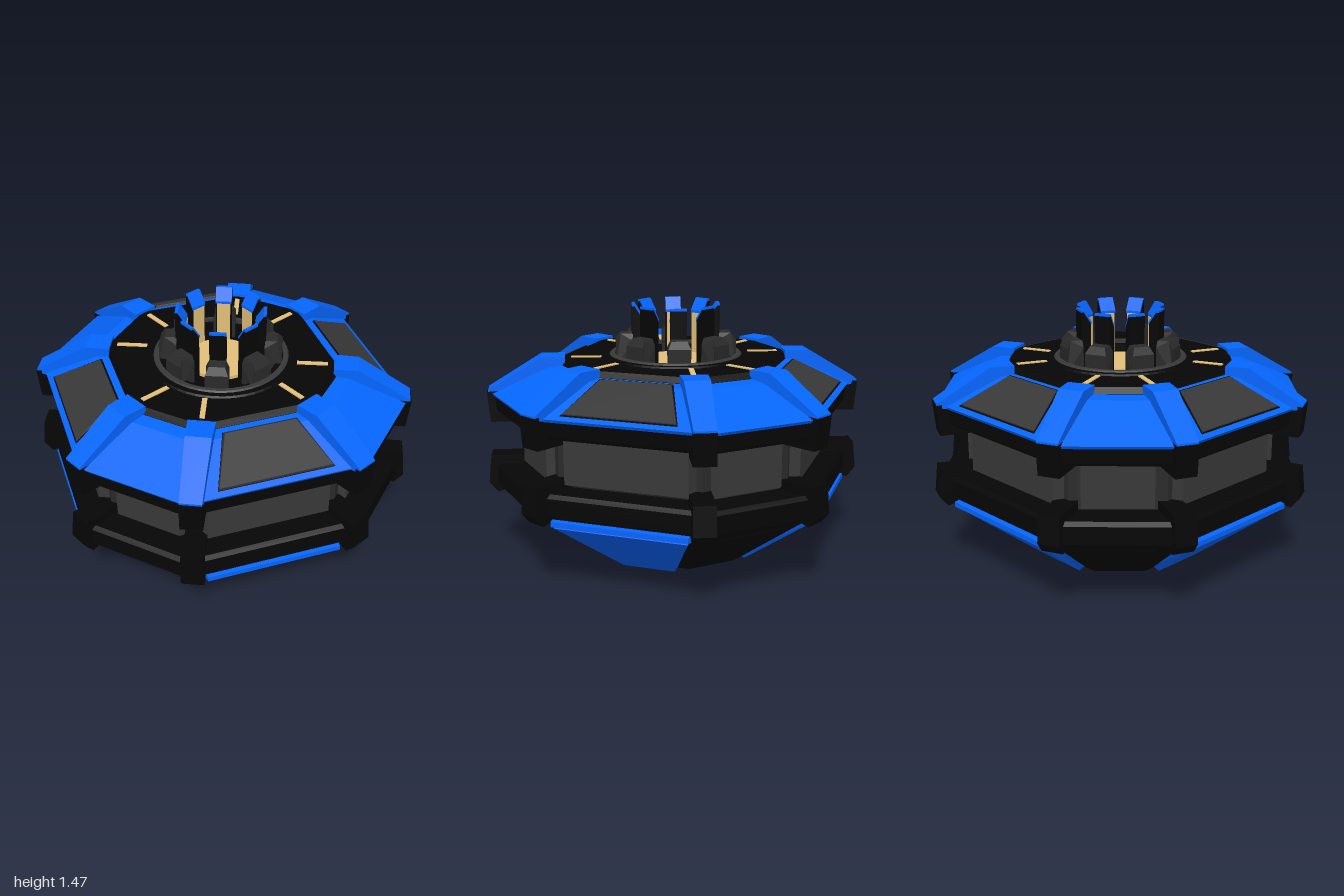
import * as THREE from 'three';

const mat = (color) => new THREE.MeshStandardMaterial({ color, flatShading: true });
const BLACK = mat(0x060606), GREY = mat(0x383838), DARK = mat(0x2a2a2a);
const BLUE = mat(0x0566ff), GOLD = mat(0xe3bf78);
const DEG = Math.PI / 180;
const DIAG = 1.078; // the diagonal sides sit a little further out

// Octagonal loft: profile rows are [distance of the straight sides, height], bottom to top
function octagon(profile) {
  const geo = new THREE.LatheGeometry(profile.map(([r, y]) => new THREE.Vector2(r, y)), 8);
  const k = 0.525;
  const corners = [[k, 1], [1, k], [1, -k], [k, -1], [-k, -1], [-1, -k], [-1, k], [-k, 1], [k, 1]];
  const pos = geo.attributes.position;
  for (let i = 0; i < pos.count; i++) {
    const [cx, cz] = corners[Math.floor(i / profile.length)];
    const s = profile[i % profile.length][0];
    pos.setXYZ(i, cx * s, pos.getY(i), cz * s);
  }
  geo.computeVertexNormals();
  return geo;
}

// Bevelled trapezoid plate; lower and upper edges are [distance, height, half width]
function slab(lo, hi, depth, bevel) {
  const geo = new THREE.BoxGeometry(2, 2, 2);
  const pos = geo.attributes.position;
  const dr = hi[0] - lo[0], dy = hi[1] - lo[1], len = Math.hypot(dr, dy);
  for (let i = 0; i < pos.count; i++) {
    const up = pos.getY(i) > 0, out = pos.getZ(i) > 0;
    const [r, y, w] = up ? hi : lo;
    const slide = out ? (up ? -bevel : bevel) / len : 0;
    const push = out ? depth / len : 0;
    pos.setXYZ(i, pos.getX(i) * (w - (out ? bevel : 0)),
      y + dy * slide - dr * push, r + dr * slide + dy * push);
  }
  geo.computeVertexNormals();
  return geo;
}

// Side profile [outward, height] extruded to a centred width
function rib(points, width) {
  const shape = new THREE.Shape(points.map(([u, y]) => new THREE.Vector2(u, y)));
  const geo = new THREE.ExtrudeGeometry(shape, { depth: width, bevelEnabled: false });
  return geo.translate(0, 0, -width / 2).rotateY(-Math.PI / 2);
}

// Scale the width of a rib by a rule of height and outward distance
function taper(geo, rule) {
  const pos = geo.attributes.position;
  for (let i = 0; i < pos.count; i++) pos.setX(i, pos.getX(i) * rule(pos.getY(i), pos.getZ(i)));
  geo.computeVertexNormals();
  return geo;
}

function ring(inner, outer, y0, y1) {
  const c = Math.min(0.01, (y1 - y0) / 3);
  const pts = [[inner, y0], [outer, y0], [outer, y1 - c], [outer - c, y1], [inner, y1], [inner, y0]];
  return new THREE.LatheGeometry(pts.map(([r, y]) => new THREE.Vector2(r, y)), 48);
}

export function createModel() {
  const model = new THREE.Group();
  const add = (name, geo, material, angle = 0, x = 0, z = 0) => {
    const mesh = new THREE.Mesh(geo, material);
    mesh.name = name;
    mesh.rotation.y = angle;
    mesh.position.set(x, 0, z);
    model.add(mesh);
  };

  // Main octagonal layers
  add('lowerHull', octagon([[0, 0], [0.35, 0], [0.355, 0.03], [0.43, 0.035], [0.89, 0.42], [0.93, 0.45],
    [0.93, 0.55], [0.91, 0.57], [0, 0.57]]), BLACK);
  add('beltCore', octagon([[0.765, 0.56], [0.765, 0.875]]), DARK);
  add('upperBand', octagon([[0, 0.865], [0.9, 0.865], [0.92, 0.885], [0.93, 0.97], [0.6, 0.97]]), BLACK);
  add('roof', octagon([[0.93, 0.965], [0.94, 0.982], [0.665, 1.128], [0.6, 1.138], [0.57, 1.138]]), BLUE);
  add('deck', octagon([[0.598, 1.1], [0.598, 1.14], [0.575, 1.17], [0.34, 1.17], [0.33, 1.13], [0, 1.13]]), BLACK);

  // Plates on the four straight sides
  const roofWindow = slab([0.905, 0.998, 0.312], [0.645, 1.138, 0.2], 0.012, 0.005);
  const windowRim = slab([0.91, 0.995, 0.318], [0.64, 1.14, 0.205], 0.007, 0.002);
  const lowerPanel = slab([0.435, 0.05, 0.165], [0.89, 0.42, 0.385], 0.042, 0.014);
  const panelLip = slab([0.885, 0.39, 0.385], [0.885, 0.43, 0.385], 0.048, 0.006);
  const beltPlate = slab([0.765, 0.572, 0.37], [0.765, 0.864, 0.37], 0.055, 0.025);
  // Plates on the four diagonal sides
  const diagBelt = slab([0.76 * DIAG, 0.572, 0.21], [0.76 * DIAG, 0.864, 0.21], 0.05, 0.02);
  const diagPanel = slab([0.47 * DIAG, 0.07, 0.11], [0.85 * DIAG, 0.39, 0.21], 0.012, 0.012);
  for (let k = 0; k < 4; k++) {
    const a = k * 90 * DEG, d = a + 45 * DEG;
    add('windowRim', windowRim, BLACK, a);
    add('roofWindow', roofWindow, GREY, a);
    add('lowerPanel', lowerPanel, BLUE, a);
    add('lowerPanelLip', panelLip, BLUE, a);
    add('beltPlate', beltPlate, GREY, a);
    add('diagonalBeltPlate', diagBelt, GREY, d);
    add('diagonalLowerPanel', diagPanel, BLACK, d);
  }

  // Corner ribs (widening inward) and deck strips, mirrored in pairs about each side
  const roofRib = taper(rib([[-0.018, 0.98], [-0.018, 1.003], [-0.32, 1.185], [-0.455, 1.185], [-0.455, 1.1],
    [-0.12, 0.96]], 0.115), (y, u) => 1 - 0.65 * u);
  const upperClamp = rib([[-0.028, 0.818], [-0.012, 0.992], [-0.12, 1.0], [-0.22, 0.96], [-0.22, 0.818]], 0.12);
  const lowerClamp = rib([[-0.05, 0.4], [-0.002, 0.46], [-0.02, 0.62], [-0.26, 0.62], [-0.26, 0.45], [-0.12, 0.42]], 0.12);
  const strip = new THREE.BoxGeometry(0.028, 0.02, 0.172).translate(0, 1.166, 0);
  for (let k = 0; k < 4; k++) for (const side of [-1, 1]) {
    const pair = (name, geo, material, radius, at, turn) => {
      const p = (k * 90 + side * at) * DEG;
      add(name, geo, material, (k * 90 + side * turn) * DEG, radius * Math.sin(p), radius * Math.cos(p));
    };
    pair('roofRib', roofRib, BLUE, 1.09, 26.3, 25);
    pair('upperClamp', upperClamp, BLACK, 1.09, 26.3, 24);
    pair('lowerClamp', lowerClamp, BLACK, 1.09, 26.3, 24);
    pair('deckStrip', strip, GOLD, 0.515, 28.6, 22.5);
  }

  // Central socket
  add('socketRing', ring(0.35, 0.382, 1.13, 1.187), GREY);
  add('socketCollar', ring(0.38, 0.42, 1.15, 1.179), BLACK);
  add('socketStep', ring(0.31, 0.352, 1.12, 1.165), BLACK);
  add('socketFloor', new THREE.CylinderGeometry(0.192, 0.192, 0.03, 48).translate(0, 1.135, 0), GOLD);

  // Eight prongs with gold inner faces, blue caps and outer blocks
  const post = rib([[0.195, 1.12], [0.25, 1.12], [0.25, 1.455], [0.235, 1.455], [0.195, 1.39]], 0.09);
  const cap = rib([[0.25, 1.455], [0.25, 1.468], [0.233, 1.468], [0.19, 1.4], [0.19, 1.385], [0.235, 1.455]], 0.09);
  const inlay = new THREE.BoxGeometry(0.075, 0.26, 0.01).translate(0, 1.255, 0.193);
  const block = taper(rib([[0.245, 1.12], [0.343, 1.12], [0.343, 1.26], [0.315, 1.3], [0.245, 1.3], [0.245, 1.26]], 0.125),
    (y) => (y > 1.28 ? 0.7 : 1));
  for (let k = 0; k < 8; k++) {
    const a = (22.5 + k * 45) * DEG;
    add('prong', post, BLACK, a);
    add('prongCap', cap, BLUE, a);
    add('prongInlay', inlay, GOLD, a);
    add('prongBlock', block, DARK, a);
  }
  return model;
}
